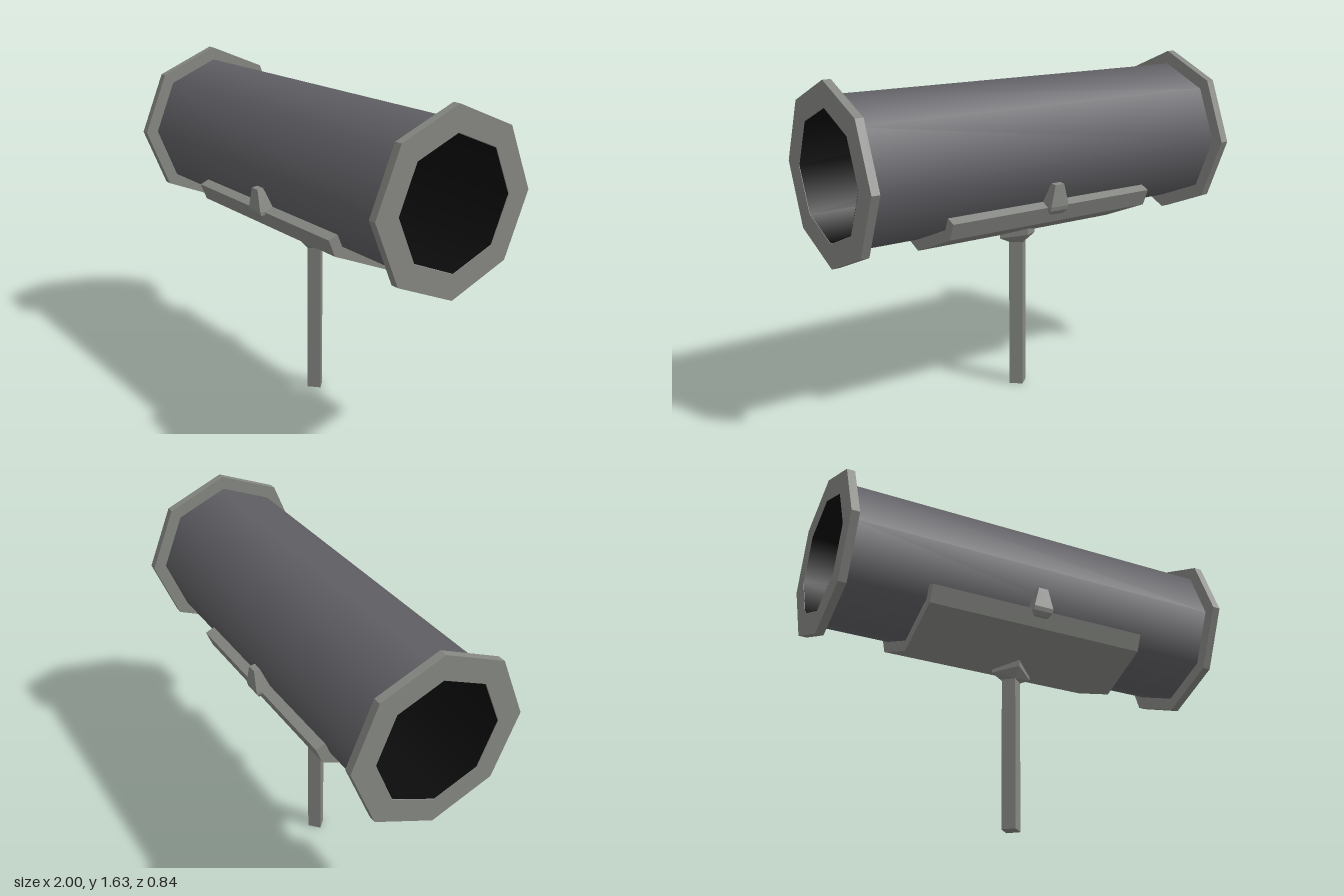
import * as THREE from 'three';
import { ConvexGeometry } from 'three/addons/geometries/ConvexGeometry.js';

const AXIS_Y = 1.21; // height of the barrel's centre line

const standard = (name, color, extra = {}) => {
  const m = new THREE.MeshStandardMaterial({ color, ...extra });
  m.name = name;
  return m;
};

// Corners of an octagon standing on a point
const octagon = (r) => Array.from({ length: 8 }, (_, i) => {
  const a = (i * Math.PI) / 4 - Math.PI / 2;
  return new THREE.Vector2(r * Math.cos(a), r * Math.sin(a));
});

// Extrude a cross-section along x, centred on x = 0
const alongX = (shape, length) => {
  const g = new THREE.ExtrudeGeometry(shape, { depth: length, bevelEnabled: false });
  return g.translate(0, 0, -length / 2).rotateY(Math.PI / 2);
};

// Open eight-sided tube along x
const openTube = (r, length) =>
  new THREE.CylinderGeometry(r, r, length, 8, 1, true).rotateZ(Math.PI / 2);

export function createModel() {
  const model = new THREE.Group();
  model.name = 'mountedTube';
  const grey = standard('warm grey', 0x858782);
  const dark = standard('dark grey', 0x5f5e63);
  const black = standard('black', 0x0b0b0b, { side: THREE.DoubleSide });

  const add = (name, geometry, material, x = 0, y = 0, z = 0) => {
    const mesh = new THREE.Mesh(geometry, material);
    mesh.name = name;
    mesh.position.set(x, y, z);
    model.add(mesh);
    return mesh;
  };

  // Barrel with a black bore
  add('barrel', openTube(0.355, 1.94), dark, 0, AXIS_Y);
  add('bore', openTube(0.299, 1.998), black, 0, AXIS_Y);

  // End rings
  const ring = new THREE.Shape(octagon(0.42));
  ring.holes.push(new THREE.Path(octagon(0.302).reverse()));
  for (const side of [-1, 1]) {
    add(side > 0 ? 'leftRing' : 'rightRing', alongX(ring, 0.04), grey, side * 0.98, AXIS_Y);
  }

  // Cradle wrapped round the underside
  const half = [[0, -0.41], [0.29, -0.29], [0.323, -0.21], [0.277, -0.191], [0.244, -0.244], [0, -0.345]];
  const outer = half.slice(0, 3);
  const inner = half.slice(3);
  const mirror = (pts) => pts.map(([x, y]) => [-x, y]).reverse();
  const section = [...outer, ...inner, ...mirror(inner).slice(1), ...mirror(outer).slice(0, 2)];
  const cradle = new THREE.Shape(section.map(([x, y]) => new THREE.Vector2(x, y)));
  add('cradle', alongX(cradle, 1.125), grey, 0, AXIS_Y);

  // Tapered catches on both sides: half width, y, z
  const levels = [
    [0.035, 0.965, 0.327], [0.05, 0.985, 0.342], [0.05, 1.005, 0.348], [0.025, 1.108, 0.345],
    [0.035, 0.975, 0.25], [0.05, 1.0, 0.26], [0.025, 1.115, 0.29],
  ];
  const corners = levels.flatMap(([w, y, z]) => [-w, w].map((x) => new THREE.Vector3(x, y, z)));
  for (const side of [1, -1]) {
    const knob = add(side > 0 ? 'frontCatch' : 'backCatch', new ConvexGeometry(corners), grey);
    if (side < 0) knob.rotation.y = Math.PI;
  }

  // Post and its flared head, which follows the cradle's keel
  add('post', new THREE.CylinderGeometry(0.05, 0.05, 0.78, 4).toNonIndexed(), grey, 0, 0.39)
    .geometry.scale(1, 1, 0.92).computeVertexNormals();
  const diamond = (rx, yx, rz, yz) => [1, -1].flatMap((s) => [
    new THREE.Vector3(s * rx, yx, 0), new THREE.Vector3(0, yz, s * rz),
  ]);
  add('postHead', new ConvexGeometry([
    ...diamond(0.05, 0.757, 0.046, 0.757),
    ...diamond(0.105, 0.783, 0.09, 0.805),
    ...diamond(0.105, 0.805, 0.09, 0.84),
  ]), grey);

  return model;
}
